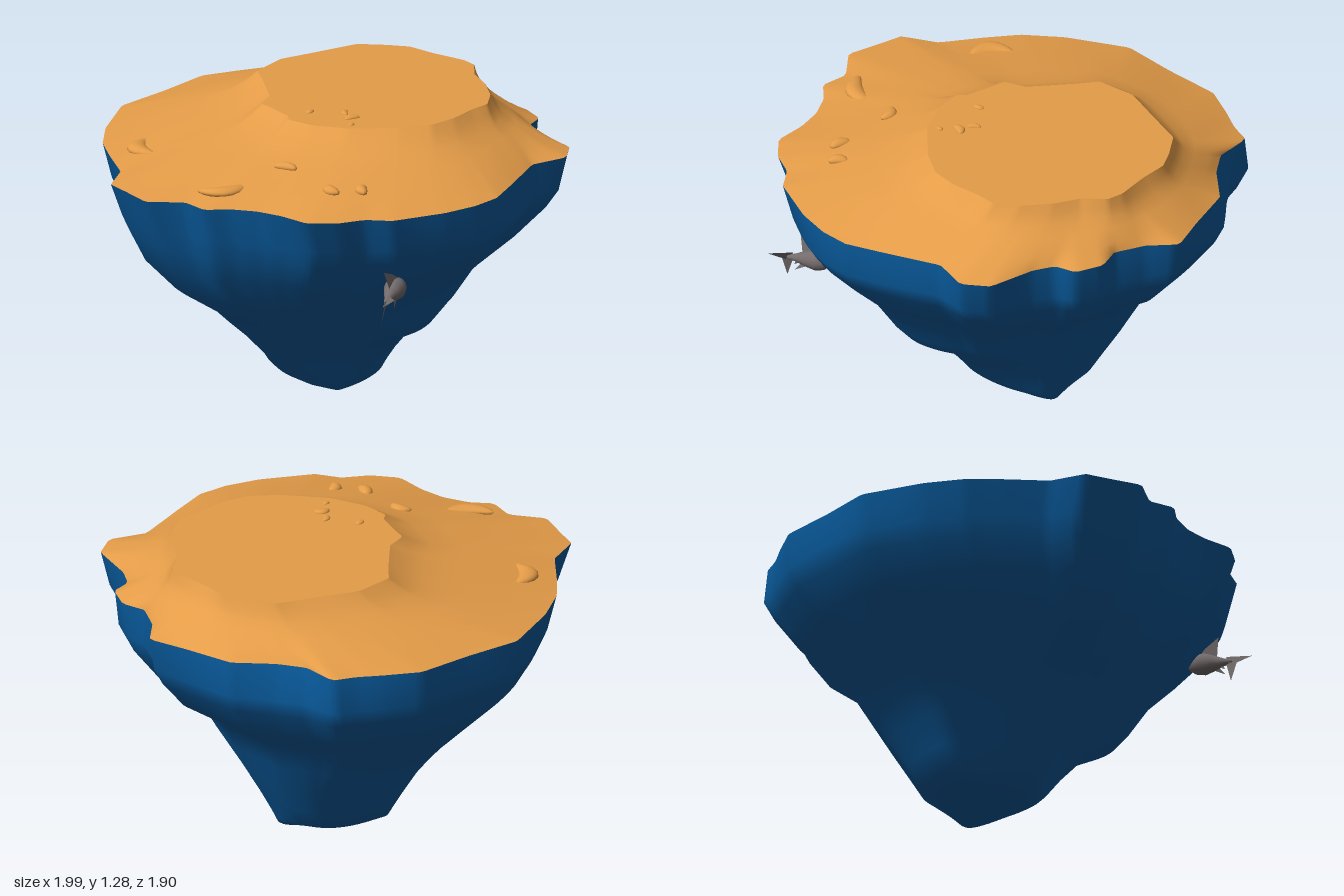
import * as THREE from 'three';

const N = 240;

// Outer shoreline, clockwise from above, as x, z pairs
const RIM = [1, -.06, .91, .05, .86, .18, .9, .28, .86, .4, .77, .43, .73, .52, .7, .73, .6, .81, .44, .77,
  .2, .88, .05, .945, -.08, .95, -.23, .92, -.45, .83, -.52, .74, -.63, .69, -.72, .6, -.73, .46, -.76, .35,
  -.82, .25, -.9, .18, -.89, .06, -1, -.06, -.97, -.2, -.95, -.31, -.81, -.39, -.71, -.55, -.62, -.68,
  -.48, -.8, -.24, -.94, 0, -.94, .25, -.955, .4, -.89, .5, -.84, .6, -.81, .62, -.65, .7, -.55, .85, -.43, .93, -.22];

// Edge of the flat summit
const SUMMIT = [.77, .05, .76, .12, .68, .2, .63, .31, .55, .42, .46, .49, .37, .49, .24, .51, .12, .5, 0, .43,
  -.15, .29, -.23, .15, -.25, .03, -.22, 0, -.2, -.1, -.19, -.18, -.1, -.22, .02, -.38, .08, -.47, .25, -.5,
  .42, -.45, .6, -.4, .68, -.3, .73, -.22, .74, -.1];

// Where a ray at angle t from (cx, 0) meets a closed outline
function rayHit(outline, cx, t) {
  const dx = Math.cos(t), dz = Math.sin(t), n = outline.length;
  for (let i = 0; i < n; i += 2) {
    const ax = outline[i] - cx, az = outline[i + 1];
    const ex = outline[(i + 2) % n] - cx - ax, ez = outline[(i + 3) % n] - az;
    const det = dx * ez - dz * ex;
    if (Math.abs(det) < 1e-9) continue;
    const r = (ax * ez - az * ex) / det, s = (ax * dz - az * dx) / det;
    if (r > 0 && s >= -1e-6 && s <= 1 + 1e-6) return r;
  }
  return 0.9;
}

// Running average around a closed list of radii
function soften(radii, reach) {
  return radii.map((_, j) => {
    let sum = 0;
    for (let d = -reach; d <= reach; d++) sum += radii[(j + d + N) % N];
    return sum / (2 * reach + 1);
  });
}

// Skin a list of closed rings running from top to bottom
function loft(rings) {
  const pos = [], idx = [];
  rings.forEach(ring => ring.forEach(p => pos.push(...p)));
  for (let i = 0; i < rings.length - 1; i++) {
    for (let j = 0; j < N; j++) {
      const a = i * N + j, b = i * N + (j + 1) % N;
      idx.push(a, b, a + N, b, b + N, a + N);
    }
  }
  const g = new THREE.BufferGeometry();
  g.setAttribute('position', new THREE.Float32BufferAttribute(pos, 3));
  g.setIndex(idx);
  g.computeVertexNormals();
  return g;
}

export function createModel() {
  const model = new THREE.Group();
  const material = (name, color, side = THREE.FrontSide) => {
    const m = new THREE.MeshStandardMaterial({ color, side });
    m.name = name;
    return m;
  };
  const sand = material('sand', 0xe49c48);
  const sea = material('deep blue', 0x08599a);
  const grey = material('fish grey', 0x736b6c, THREE.DoubleSide);
  const add = (name, geometry, mat, parent = model) => {
    const mesh = new THREE.Mesh(geometry, mat);
    mesh.name = name;
    parent.add(mesh);
    return mesh;
  };

  const { lerp } = THREE.MathUtils;
  const angles = Array.from({ length: N }, (_, j) => j / N * Math.PI * 2);
  const rimR = angles.map(t => rayHit(RIM, 0, t));
  const summitR = angles.map(t => rayHit(SUMMIT, .26, t));
  const softRim = soften(rimR, 9), softSummit = soften(summitR, 6);

  // Sandy slope and flat summit: jagged at both edges, softer between
  const slopeRing = ([f, y]) => angles.map((t, j) => {
    const c = Math.cos(t), s = Math.sin(t);
    const outer = lerp(rimR[j], softRim[j], Math.min(1, f * 2));
    const inner = lerp(softSummit[j], summitR[j], f ** 4);
    return [lerp(outer * c, .26 + inner * c, f), y, lerp(outer * s, inner * s, f)];
  });
  const slope = add('sandySlope', loft([[1, 1.27], [.92, 1.235], [.8, 1.195], [.6, 1.163], [.3, 1.12],
    [.12, 1.095], [0, 1.08]].map(slopeRing)), sand);
  const cap = add('flatSummit', loft([angles.map(() => [.26, 1.27, 0]), slopeRing([1, 1.27])]), sand);

  // Underwater base: y, reach to +x, -x, +z, -z, shoreline influence, gully depth
  const levels = [
    [1.08, .95, .95, .95, .95, 1, 0],
    [.93, .94, .91, .95, .95, .74, .04],
    [.85, .9, .88, .9, .91, .65, .045],
    [.72, .8, .83, .78, .82, .5, .055],
    [.58, .61, .71, .64, .68, .35, .08],
    [.45, .54, .52, .56, .56, .25, .11],
    [.38, .5, .45, .5, .5, .2, .13],
    [.3, .46, .36, .35, .44, .15, .14],
    [.18, .39, .24, .24, .37, .1, .15],
    [.09, .34, .15, .17, .32, 0, .15],
    [.05, .32, .08, .13, .2, 0, .1],
    [.025, .31, .02, .08, .1, 0, .1],
  ];
  // Gully strength in each quarter, from +x+z round to +x-z; negative swells outwards
  const quarters = [.4, 1.15, .7, -.95];
  const baseRings = levels.map(([y, xp, xn, zp, zn, jag, gully]) => angles.map((t, j) => {
    const c = Math.cos(t), s = Math.sin(t);
    const cut = gully * quarters[Math.floor(j / N * 4)] * (1 - Math.cos(4 * t)) / 2;
    const k = (1 + jag * (rimR[j] / .95 - 1)) * (1 - cut);
    return [c * (c > 0 ? xp : xn) * k, y, s * (s > 0 ? zp : zn) * k];
  }));
  add('underwaterBase', loft([...baseRings, angles.map(() => [.11, 0, 0])]), sea);

  // Bent, half-buried rocks: x, z, half length, half width, height, turn, bend
  const ray = new THREE.Raycaster();
  const down = new THREE.Vector3(0, -1, 0);
  [
    [-.61, -.49, .1, .042, .022, 1, .6],
    [-.74, .15, .11, .038, .02, -.5, -.4],
    [-.45, .22, .05, .026, .018, -1.2, .3],
    [-.47, .49, .048, .028, .02, 1.3, .2],
    [-.38, .58, .042, .026, .02, .8, .3],
    [-.12, .03, .024, .015, .009, .3, 0],
    [-.11, .26, .016, .012, .008, .2, 0],
    [-.03, .14, .03, .015, .01, .8, .3],
    [-.05, .2, .035, .02, .012, -.3, .3],
  ].forEach(([x, z, l, w, h, turn, bend], i) => {
    const g = new THREE.SphereGeometry(1, 18, 12);
    const p = g.attributes.position;
    for (let k = 0; k < p.count; k++) {
      const u = p.getX(k);
      p.setXYZ(k, u * l, p.getY(k) * h, p.getZ(k) * w + bend * l * u * u);
    }
    g.computeVertexNormals();
    ray.set(new THREE.Vector3(x, 2, z), down);
    const rock = add('rock' + (i + 1), g, sand);
    rock.position.set(x, ray.intersectObjects([slope, cap])[0].point.y, z);
    rock.rotation.y = turn;
  });

  // Fish beside the base, nose towards +x
  const fish = new THREE.Group();
  fish.name = 'fish';
  model.add(fish);
  const tail = new THREE.Vector3(-.46, .715, .8), nose = new THREE.Vector3(-.276, .736, .705);
  const length = tail.distanceTo(nose);
  const profile = [[0, 0], [.009, .03], [.017, .2], [.034, .42], [.046, .62], [.041, .8], [.023, .94], [0, 1]]
    .map(([r, v]) => new THREE.Vector2(r, v * length));
  const body = add('fishBody', new THREE.LatheGeometry(profile, 16), grey, fish);
  body.position.copy(tail);
  body.quaternion.setFromUnitVectors(new THREE.Vector3(0, 1, 0), nose.clone().sub(tail).normalize());

  const fin = (name, ...corners) => {
    const g = new THREE.BufferGeometry();
    g.setAttribute('position', new THREE.Float32BufferAttribute(corners, 3));
    g.computeVertexNormals();
    add(name, g, grey, fish);
  };
  fin('dorsalFin', -.4, .745, .765, -.315, .78, .73, -.423, .825, .755);
  fin('upperTailFin', -.435, .74, .785, -.46, .69, .785, -.488, .752, .88);
  fin('lowerTailFin', -.43, .725, .785, -.478, .725, .815, -.47, .618, .785);
  fin('pectoralFin', -.35, .71, .765, -.39, .71, .78, -.41, .674, .8);
  fin('bellyFin', -.39, .71, .765, -.42, .71, .78, -.43, .685, .785);

  return model;
}
